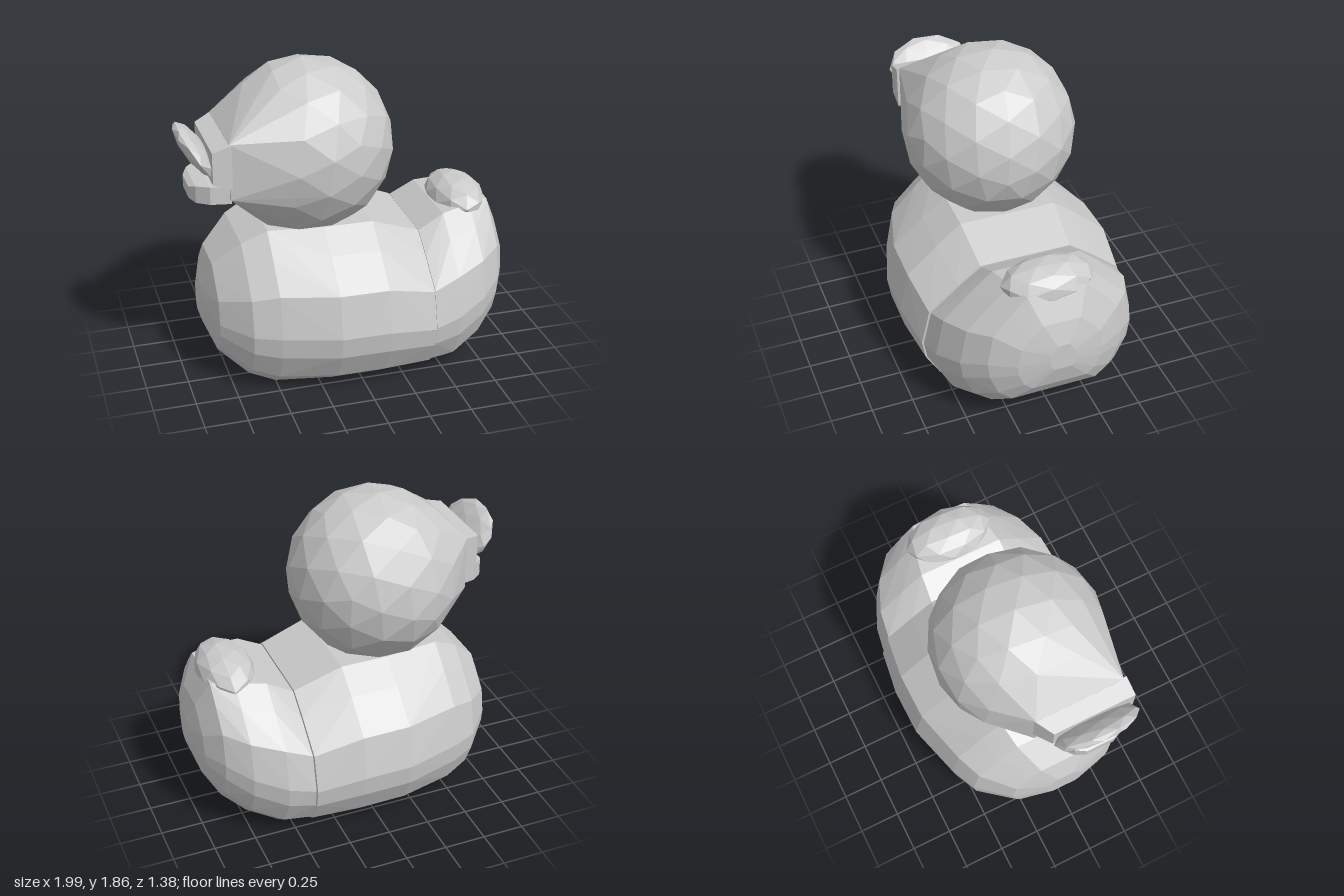
import * as THREE from 'three';
import { ConvexGeometry } from 'three/addons/geometries/ConvexGeometry.js';

const V = (x, y, z) => new THREE.Vector3(x, y, z);
const material = new THREE.MeshStandardMaterial({ color: 0xcccccc, flatShading: true });

// Half cross-section of the body: [share of half width, share of height]
const SECTION = [[0, 1], [0.43, 1], [0.65, 0.87], [0.92, 0.69], [1, 0.42], [0.97, 0.28], [0.84, 0.1], [0.64, 0]];

// Each station is [x, bottom, top, half width]
function bodyPoints(stations) {
  const points = [];
  for (const [x, bottom, top, half] of stations) {
    for (const [w, h] of SECTION) {
      for (const side of [-1, 1]) points.push(V(x, bottom + h * (top - bottom), side * w * half));
    }
  }
  return points;
}

// Points of a faceted ellipsoid
function ellipsoidPoints(center, radii, detail, tilt = 0) {
  const geometry = new THREE.IcosahedronGeometry(1, detail);
  geometry.rotateX(0.3).rotateY(0.4);
  geometry.scale(...radii).rotateZ(tilt).translate(...center);
  const pos = geometry.attributes.position;
  return Array.from({ length: pos.count }, (_, i) => V(
    +pos.getX(i).toFixed(4), +pos.getY(i).toFixed(4), +pos.getZ(i).toFixed(4)));
}

// Corners of a slice across the beak
const slice = (x, y0, y1, z0, z1) => [V(x, y0, z0), V(x, y0, z1), V(x, y1, z0), V(x, y1, z1)];

export function createModel() {
  const duck = new THREE.Group();
  duck.name = 'duck';
  const add = (name, points) => {
    const mesh = new THREE.Mesh(new ConvexGeometry(points), material);
    mesh.name = name;
    duck.add(mesh);
  };

  // Flat-bottomed body in two halves meeting at a seam
  add('frontBody', bodyPoints([
    [-0.87, 0.3, 0.54, 0.12], [-0.81, 0.17, 0.7, 0.33], [-0.65, 0.05, 0.85, 0.52],
    [-0.5, 0, 0.925, 0.59], [-0.17, 0, 0.925, 0.685], [0.12, 0, 0.925, 0.69], [0.41, 0, 0.82, 0.65],
  ]));
  add('rearBody', bodyPoints([
    [0.415, 0.005, 0.815, 0.64], [0.57, 0.005, 0.9, 0.615], [0.75, 0.09, 0.925, 0.53],
    [0.88, 0.19, 0.925, 0.41], [0.96, 0.31, 0.76, 0.26], [1, 0.45, 0.62, 0.08],
  ]));
  add('tail', ellipsoidPoints([0.74, 0.9, 0], [0.17, 0.125, 0.28], 1));

  // Head cut flat at the neck and drawn forward to the beak
  const head = ellipsoidPoints([-0.2, 1.345, 0], [0.515, 0.515, 0.515], 2).filter((p) => p.y > 0.98);
  for (let i = 0; i < 10; i++) {
    const a = (i / 10) * Math.PI * 2;
    head.push(V(-0.22 + 0.32 * Math.cos(a), 0.925, 0.3 * Math.sin(a)));
  }
  head.push(...slice(-0.73, 1.2, 1.53, -0.16, 0.38));
  add('head', head);

  // Beak, turned a little to one side
  add('beakBase', [...slice(-0.72, 1.27, 1.53, -0.17, 0.4), ...slice(-0.83, 1.31, 1.5, -0.1, 0.4)]);
  add('upperBeak', ellipsoidPoints([-0.88, 1.43, 0.14], [0.06, 0.18, 0.26], 1, 0.62));
  add('lowerBeak', [
    ...slice(-0.72, 1.17, 1.27, -0.08, 0.36), ...slice(-0.84, 1.175, 1.28, -0.06, 0.35),
    ...slice(-0.91, 1.17, 1.27, 0, 0.29), ...slice(-0.94, 1.18, 1.25, 0.06, 0.23),
  ]);
  return duck;
}
